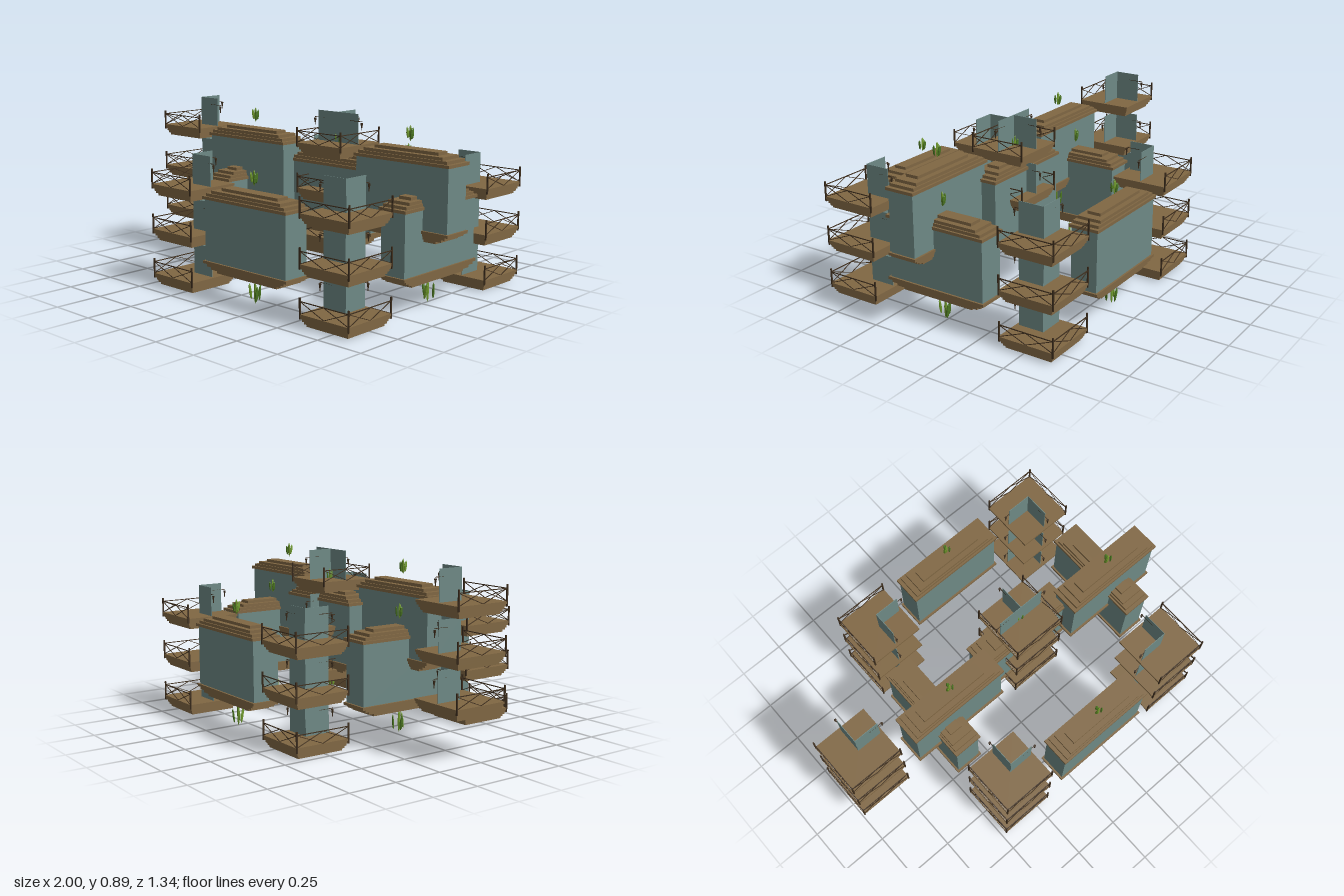
import * as THREE from 'three';

const mat = (color) => new THREE.MeshStandardMaterial({ color, flatShading: true, side: THREE.DoubleSide });
const wood = mat(0x806743), plaster = mat(0x6e8985), dark = mat(0x3f2f1e);
const leafA = mat(0x6f9a2c), leafB = mat(0x4d7a22);

const unitBox = new THREE.BoxGeometry(1, 1, 1);
const leafGeo = new THREE.SphereGeometry(1, 6, 4);
const UP = new THREE.Vector3(0, 1, 0);

function box(parent, name, material, w, h, d, x, y, z) {
  const m = new THREE.Mesh(unitBox, material);
  m.name = name;
  m.scale.set(w, h, d);
  m.position.set(x, y, z);
  parent.add(m);
  return m;
}

// Thin square rod between two points
function rod(parent, name, a, b, t) {
  const p = new THREE.Vector3(...a), q = new THREE.Vector3(...b);
  const m = box(parent, name, dark, t, p.distanceTo(q), t, 0, 0, 0);
  m.position.copy(p).add(q).multiplyScalar(0.5);
  m.quaternion.setFromUnitVectors(UP, q.sub(p).normalize());
}

// Cluster of upright pointed leaves
function plant(parent, name, y, height, spread) {
  const g = new THREE.Group();
  g.name = name;
  const leaves = [[0, 0, 1], [1, 0.6, 0.7], [-1, 0.3, 0.75], [0.2, -1, 0.7]];
  leaves.forEach(([x, z, s], i) => {
    const m = new THREE.Mesh(leafGeo, i % 2 ? leafB : leafA);
    m.name = 'leaf';
    m.scale.set(0.009, height * s / 2, 0.006);
    m.position.set(x * spread, y + height * (0.5 + (i % 2 ? -0.1 : 0.08) * (1 - s)), z * spread);
    m.rotation.set(z * 0.12, i * 0.9, -x * 0.15);
    g.add(m);
  });
  parent.add(g);
}

// House block: stepped base, wall, stepped roof, plants above and below
function house(name, x, y, z, turned) {
  const g = new THREE.Group();
  g.name = name;
  const L = 0.57, W = 0.16;
  box(g, 'wall', plaster, L - 0.02, 0.33, W - 0.02, 0, 0.21, 0);
  const roof = [[0, 0], [0.02, 0.01], [0.05, 0.017], [0.095, 0.045]];
  roof.forEach(([ix, iz], i) =>
    box(g, 'roofStep', wood, L - 2 * ix, 0.015, W - 2 * iz, 0, 0.3725 + i * 0.015, 0));
  const base = [[0, 0], [0.02, 0.006], [0.045, 0.012], [0.08, 0.02]];
  base.forEach(([ix, iz], i) =>
    box(g, 'baseStep', wood, L - 2 * ix, 0.014, W - 2 * iz, 0, 0.049 - i * 0.014, 0));
  plant(g, 'roofPlant', 0.455, 0.078, 0.014);
  plant(g, 'hangingPlant', -0.125, 0.115, 0.026);
  g.position.set(x, y, z);
  if (turned) g.rotation.y = Math.PI / 2;
  return g;
}

// Railing along one edge, from a to b at deck height
function railing(parent, a, b, y) {
  const g = new THREE.Group();
  g.name = 'railing';
  const at = (t, h) => [a[0] + (b[0] - a[0]) * t, y + h, a[1] + (b[1] - a[1]) * t];
  for (const t of [0, 1]) rod(g, 'post', at(t, -0.025), at(t, 0.078), 0.007);
  rod(g, 'handrail', at(0, 0.06), at(1, 0.06), 0.004);
  for (const t of [0, 1]) {
    rod(g, 'brace', at(t, 0), at(0.5, 0.06), 0.003);
    rod(g, 'brace', at(t, 0.06), at(0.5, 0), 0.003);
  }
  parent.add(g);
}

// Wall panel reaching from the deck centre, with a lantern on its end
function panel(parent, dx, dz, y) {
  const len = 0.135, h = 0.155;
  box(parent, 'wallPanel', plaster, dx ? len : 0.003, h, dz ? len : 0.003, dx * len / 2, y + h / 2, dz * len / 2);
  rod(parent, 'lanternArm', [dx * 0.08, y + 0.118, dz * 0.08], [dx * 0.16, y + 0.118, dz * 0.16], 0.003);
  const lamp = new THREE.Mesh(new THREE.CylinderGeometry(0.007, 0.003, 0.024, 6), dark);
  lamp.name = 'lantern';
  lamp.position.set(dx * 0.158, y + 0.1, dz * 0.158);
  parent.add(lamp);
  rod(parent, 'lanternSpike', [dx * 0.158, y + 0.075, dz * 0.158], [dx * 0.158, y + 0.09, dz * 0.158], 0.003);
}

// Balcony with inward panels (sx, sz) and railings on the opposite edges
function balcony(sxList, sz) {
  const g = new THREE.Group();
  g.name = 'balcony';
  [0.15, 0.146, 0.14, 0.134, 0.126].forEach((r, i) =>
    box(g, 'deckStep', wood, 2 * r, 0.012, 2 * r, 0, 0.054 - i * 0.012, 0));
  const y = 0.06, e = 0.147;
  panel(g, 0, sz, y);
  railing(g, [-e, -sz * e], [e, -sz * e], y);
  for (const sx of sxList) {
    panel(g, sx, 0, y);
    railing(g, [-sx * e, -e], [-sx * e, e], y);
  }
  return g;
}

export function createModel() {
  const model = new THREE.Group();
  model.name = 'terracedHouses';

  // House blocks
  model.add(
    house('frontHouse', 0.193, 0.14, 0.59, false),
    house('backHouse', 0.193, 0.14, -0.59, false),
    house('rightSideHouse', -0.4, 0.14, -0.005, true),
    house('leftSideHouse', 0.78, 0.14, -0.005, true),
    house('upperRightHouse', -0.333, 0.35, 0.068, false),
    house('upperLeftHouse', 0.715, 0.35, 0.068, false),
    house('middleHouse', 0.193, 0.26, -0.013, false)
  );

  // Stacks of three balconies
  const stacks = [
    ['frontRightBalconies', -0.33, 0, 0.52, [1], -1],
    ['frontLeftBalconies', 0.711, 0, 0.52, [-1], -1],
    ['backRightBalconies', -0.33, 0, -0.523, [1], 1],
    ['backLeftBalconies', 0.711, 0, -0.523, [-1], 1],
    ['outerRightBalconies', -0.852, 0.21, -0.005, [1], -1],
    ['centreBalconies', 0.193, 0.21, -0.005, [1, -1], -1]
  ];
  for (const [name, x, y, z, sx, sz] of stacks) {
    const stack = new THREE.Group();
    stack.name = name;
    for (let i = 0; i < 3; i++) {
      const b = balcony(sx, sz);
      b.position.y = i * 0.235;
      stack.add(b);
    }
    stack.position.set(x, y, z);
    model.add(stack);
  }
  return model;
}
